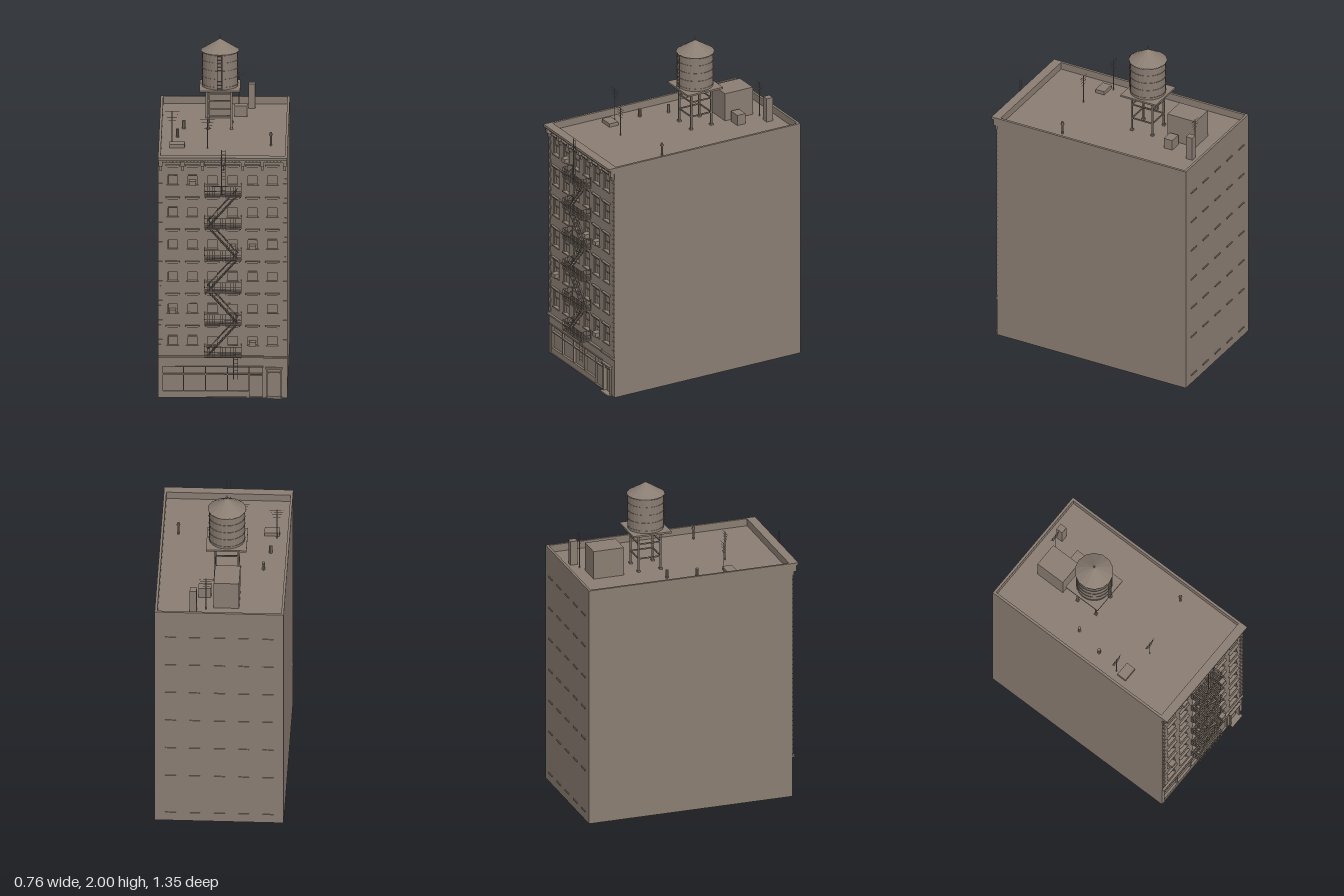
import * as THREE from 'three';

export function createModel() {
  const root = new THREE.Group();
  root.name = 'apartmentBlock';
  const stone = new THREE.MeshStandardMaterial({ color: 0x8a7d72, flatShading: true });
  stone.name = 'warmGreyStone';

  const group = (name, parent = root) => {
    const g = new THREE.Group();
    g.name = name;
    parent.add(g);
    return g;
  };
  const add = (parent, name, geo, x = 0, y = 0, z = 0) => {
    const m = new THREE.Mesh(geo, stone);
    m.name = name;
    m.position.set(x, y, z);
    parent.add(m);
    return m;
  };
  // Box given by its limits on each axis
  const box = (parent, name, x0, x1, y0, y1, z0, z1) =>
    add(parent, name, new THREE.BoxGeometry(x1 - x0, y1 - y0, z1 - z0), (x0 + x1) / 2, (y0 + y1) / 2, (z0 + z1) / 2);
  const cyl = (parent, name, r0, r1, x, y0, y1, z, n = 8) =>
    add(parent, name, new THREE.CylinderGeometry(r1, r0, y1 - y0, n), x, (y0 + y1) / 2, z);
  // Thin bar between two points
  const rod = (parent, name, a, b, r = 0.0018) => {
    const p = new THREE.Vector3(...a), q = new THREE.Vector3(...b);
    const d = q.clone().sub(p);
    const m = add(parent, name, new THREE.CylinderGeometry(r, r, d.length(), 5));
    m.position.copy(p).add(q).multiplyScalar(0.5);
    m.quaternion.setFromUnitVectors(new THREE.Vector3(0, 1, 0), d.normalize());
    return m;
  };

  const L = -0.383, R = 0.38, BACK = -0.67, FACE = 0.605, CORE = 0.588, DECK = 1.44, TOP = 1.485;
  const columns = [-0.296, -0.18, -0.063, 0.058, 0.175, 0.291];
  const rows = [0, 1, 2, 3, 4, 5].map(i => 0.323 + i * 0.1975);
  const W = 0.032, H = 0.108;

  // Main block and parapets
  const shell = group('building');
  box(shell, 'mainBlock', L, R, 0, DECK, BACK, CORE);
  box(shell, 'leftParapet', R - 0.015, R, DECK, TOP, BACK, CORE);
  box(shell, 'rightParapet', L, L + 0.015, DECK, TOP, BACK, CORE);
  box(shell, 'rearParapet', L + 0.015, R - 0.015, DECK, TOP, BACK, BACK + 0.015);

  // Front wall with window and shop openings
  const wall = new THREE.Shape();
  wall.moveTo(L, 0).lineTo(R, 0).lineTo(R, TOP).lineTo(L, TOP).closePath();
  const hole = (x0, x1, y0, y1) => {
    const p = new THREE.Path();
    p.moveTo(x0, y0).lineTo(x0, y1).lineTo(x1, y1).lineTo(x1, y0).closePath();
    wall.holes.push(p);
  };
  for (const x of columns) for (const y of rows) hole(x - W, x + W, y, y + H);
  hole(-0.36, 0.24, 0.006, 0.19);
  hole(0.262, 0.34, 0.006, 0.178);
  add(shell, 'frontWall', new THREE.ExtrudeGeometry(wall, { depth: FACE - CORE, bevelEnabled: false }), 0, 0, CORE);

  // Front windows: sash, sill and lintel
  const windows = group('frontWindows');
  for (const x of columns) for (const y of rows) {
    box(windows, 'upperSash', x - W, x + W, y + 0.056, y + H, CORE, 0.594);
    box(windows, 'meetingRail', x - W, x + W, y + 0.052, y + 0.058, CORE, 0.597);
    for (const s of [-1, 1]) box(windows, 'jamb', x + s * 0.0295 - 0.0025, x + s * 0.0295 + 0.0025, y, y + H, CORE, 0.6);
    box(windows, 'sill', x - 0.037, x + 0.037, y - 0.008, y, FACE, 0.613);
    box(windows, 'lintel', x - 0.037, x + 0.037, y + H, y + H + 0.009, FACE, 0.612);
    box(windows, 'lintelCap', x - 0.043, x + 0.043, y + H + 0.009, y + H + 0.016, FACE, 0.62);
  }
  for (const [c, r] of [[1, 5], [3, 3], [4, 3], [0, 1], [4, 0]])
    box(windows, 'airConditioner', columns[c] - 0.02, columns[c] + 0.02, rows[r], rows[r] + 0.026, CORE, 0.628);

  // Corner quoins
  const quoins = group('quoins');
  for (let i = 0; i < 38; i++) {
    const w = i % 2 ? 0.016 : 0.026, y = 0.275 + i * 0.03;
    box(quoins, 'quoin', L, L + w, y, y + 0.024, FACE, 0.609);
    box(quoins, 'quoin', R - w, R, y, y + 0.024, FACE, 0.609);
  }

  // Cornice with brackets
  const cornice = group('cornice');
  box(cornice, 'frieze', L, R, 1.448, 1.458, FACE, 0.618);
  box(cornice, 'corniceBed', L, R, 1.458, 1.47, FACE, 0.63);
  box(cornice, 'corniceCap', L, R, 1.47, TOP, FACE, 0.643);
  for (const x of [-0.368, -0.238, -0.121, -0.003, 0.117, 0.233, 0.365]) {
    box(cornice, 'bracketHead', x - 0.011, x + 0.011, 1.43, 1.459, FACE, 0.632);
    box(cornice, 'bracketFoot', x - 0.008, x + 0.008, 1.402, 1.43, FACE, 0.619);
  }
  for (let x = -0.35; x < 0.35; x += 0.0205) box(cornice, 'dentil', x, x + 0.01, 1.45, 1.458, 0.618, 0.625);

  // Shopfront and street doors
  const shop = group('shopfront');
  box(shop, 'signLedge', L, 0.24, 0.25, 0.26, FACE, 0.62);
  box(shop, 'doorLedge', 0.24, R, 0.244, 0.254, FACE, 0.616);
  box(shop, 'signBoardBase', -0.365, 0.24, 0.19, 0.195, FACE, 0.612);
  box(shop, 'stallRiser', -0.36, 0.155, 0.006, 0.04, CORE, 0.602);
  box(shop, 'transom', -0.36, 0.24, 0.14, 0.147, CORE, 0.602);
  for (const x of [-0.357, -0.232, -0.103, 0.026, 0.155, 0.237])
    box(shop, 'mullion', x - 0.003, x + 0.003, 0.006, 0.19, CORE, 0.602);
  box(shop, 'shopDoor', 0.163, 0.23, 0.006, 0.135, CORE, 0.594);
  box(shop, 'streetDoor', 0.272, 0.33, 0.006, 0.15, CORE, 0.594);
  box(shop, 'doorTransom', 0.262, 0.34, 0.15, 0.156, CORE, 0.6);
  for (const x of [0.258, 0.338]) box(shop, 'doorPilaster', x, x + 0.008, 0, 0.18, FACE, 0.615);
  box(shop, 'doorHood', 0.252, 0.352, 0.18, 0.189, FACE, 0.622);
  box(shop, 'doorStep', 0.255, 0.349, 0, 0.008, FACE, 0.632);

  // Rear sills
  const rear = group('rearSills');
  for (const x of [-0.29, -0.147, -0.003, 0.143, 0.286])
    for (const y of [0.06, ...rows]) box(rear, 'rearSill', x - 0.032, x + 0.032, y - 0.008, y, -0.675, BACK);

  // Fire escape: landings, railings, zigzag stairs
  const escape = group('fireEscape');
  const E = 0.108, Z0 = 0.607, Z1 = 0.672;
  for (let f = 0; f < 6; f++) {
    const y = 0.268 + f * 0.1975;
    const landing = group('landing', escape);
    for (let i = 0; i <= 8; i++) {
      const z = Z0 + (Z1 - Z0) * i / 8;
      box(landing, 'floorSlat', -E, E, y, y + 0.004, z - 0.0022, z + 0.0022);
    }
    for (const s of [-1, 0, 1]) box(landing, 'floorBeam', s * 0.105 - 0.003, s * 0.105 + 0.003, y - 0.005, y, FACE, Z1);
    for (const h of [0.033, 0.064]) {
      rod(landing, 'frontRail', [-E, y + h, Z1], [E, y + h, Z1]);
      for (const s of [-E, E]) rod(landing, 'sideRail', [s, y + h, FACE], [s, y + h, Z1]);
    }
    for (let i = 0; i <= 14; i++) {
      const x = -E + 2 * E * i / 14;
      rod(landing, 'baluster', [x, y, Z1], [x, y + 0.064, Z1], 0.0012);
    }
    for (const s of [-E, E]) for (let i = 0; i < 4; i++) {
      const z = Z0 + i * 0.016;
      rod(landing, 'baluster', [s, y, z], [s, y + 0.064, z], 0.0012);
    }
    if (f === 5) continue;
    const dir = f % 2 ? -1 : 1, stair = group('stair', escape);
    for (const z of [0.625, 0.652]) {
      rod(stair, 'stringer', [-dir * 0.09, y, z], [dir * 0.085, y + 0.1975, z], 0.003);
      rod(stair, 'handrail', [-dir * 0.09, y + 0.04, z], [dir * 0.085, y + 0.235, z], 0.0014);
    }
    for (let i = 1; i < 11; i++) {
      const x = dir * (-0.09 + 0.175 * i / 11), ty = y + 0.1975 * i / 11;
      box(stair, 'tread', x - 0.007, x + 0.007, ty - 0.001, ty + 0.001, 0.625, 0.652);
    }
  }
  const ladder = (parent, name, x0, x1, y0, y1, z) => {
    const g = group(name, parent);
    for (const x of [x0, x1]) rod(g, 'ladderSide', [x, y0, z], [x, y1, z], 0.002);
    for (let y = y0 + 0.012; y < y1; y += 0.022) rod(g, 'rung', [x0, y, z], [x1, y, z], 0.0012);
  };
  ladder(escape, 'dropLadder', 0.063, 0.089, 0.128, 0.27, 0.656);
  ladder(escape, 'roofLadder', -0.008, 0.014, 1.256, 1.54, 0.658);

  // Water tank on its stand
  const tank = group('waterTank');
  const tx = -0.027, tz = -0.188;
  for (const sx of [-0.069, 0.069]) for (const sz of [-0.069, 0.069]) {
    box(tank, 'leg', tx + sx - 0.005, tx + sx + 0.005, DECK, 1.68, tz + sz - 0.005, tz + sz + 0.005);
    box(tank, 'footing', tx + sx - 0.009, tx + sx + 0.009, DECK, DECK + 0.01, tz + sz - 0.009, tz + sz + 0.009);
  }
  for (const y of [1.523, 1.615]) for (const s of [-0.069, 0.069]) {
    box(tank, 'crossBeam', tx - 0.069, tx + 0.069, y - 0.004, y + 0.004, tz + s - 0.003, tz + s + 0.003);
    box(tank, 'sideBeam', tx + s - 0.003, tx + s + 0.003, y - 0.004, y + 0.004, tz - 0.069, tz + 0.069);
  }
  box(tank, 'platform', tx - 0.12, tx + 0.12, 1.68, 1.691, tz - 0.12, tz + 0.12);
  cyl(tank, 'barrel', 0.106, 0.106, tx, 1.691, 1.91, tz, 24);
  for (const y of [1.705, 1.755, 1.805, 1.855, 1.9]) cyl(tank, 'hoop', 0.1085, 0.1085, tx, y - 0.002, y + 0.002, tz, 24);
  cyl(tank, 'conicalRoof', 0.115, 0.003, tx, 1.908, 1.978, tz, 14);
  cyl(tank, 'finial', 0.004, 0.004, tx, 1.97, 2, tz);
  ladder(tank, 'tankLadder', -0.042, -0.014, 1.691, 1.91, -0.071);

  // Roof bulkhead, chimney, hatch and vents
  const roof = group('roofFittings');
  box(roof, 'stairBulkhead', -0.114, 0.036, DECK, 1.615, -0.545, -0.355);
  box(roof, 'ventHousing', 0.056, 0.131, DECK, 1.505, -0.44, -0.383);
  box(roof, 'chimney', 0.135, 0.176, DECK, 1.59, -0.6, -0.558);
  box(roof, 'roofHatch', -0.32, -0.23, DECK, 1.462, 0.22, 0.28);
  cyl(roof, 'ventPipe', 0.01, 0.01, -0.24, DECK, 1.49, -0.13);
  cyl(roof, 'ventPipe', 0.01, 0.01, -0.275, DECK, 1.49, 0.046);
  cyl(roof, 'ventStack', 0.006, 0.006, 0.278, DECK, 1.51, 0.22);
  cyl(roof, 'ventCowl', 0.012, 0.006, 0.278, 1.505, 1.522, 0.22);

  // Aerials
  for (const [x, top, z] of [[-0.305, 1.645, 0.2], [-0.095, 1.622, 0.285], [0.08, 1.66, -0.565]]) {
    const aerial = group('aerial');
    rod(aerial, 'mast', [x, DECK, z], [x, top, z], 0.0025);
    [[0.006, 0.043], [0.022, 0.036], [0.038, 0.03], [0.058, 0.022]].forEach(([d, w]) =>
      rod(aerial, 'element', [x - w, top - d, z], [x + w, top - d, z], 0.0014));
  }
  return root;
}
